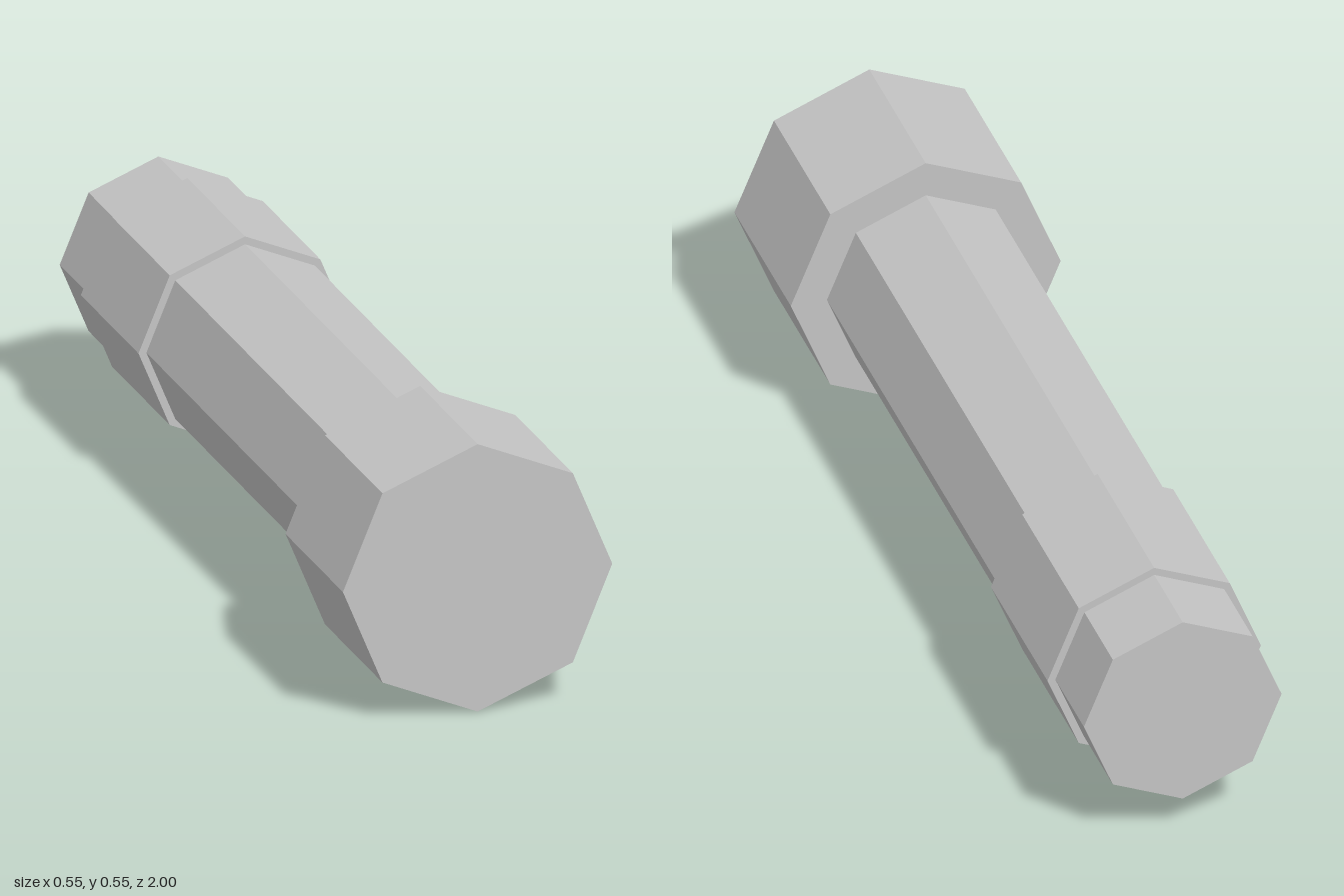
import * as THREE from 'three';

export function createModel() {
  const model = new THREE.Group();
  model.name = 'bolt';

  const grey = new THREE.MeshStandardMaterial({ color: 0xc4c4c4, flatShading: true });
  grey.name = 'light grey';

  const axisHeight = 0.273;

  // Octagonal prism lying along z, with a corner pointing straight up
  function prism(name, radius, zBack, zFront) {
    const geometry = new THREE.CylinderGeometry(radius, radius, zFront - zBack, 8);
    geometry.rotateX(Math.PI / 2);
    const mesh = new THREE.Mesh(geometry, grey);
    mesh.name = name;
    mesh.position.set(0, axisHeight, (zFront + zBack) / 2);
    model.add(mesh);
  }

  prism('head', 0.273, 0.64, 1);
  prism('shaft', 0.2, -1, 0.64);
  prism('collar', 0.216, -0.818, -0.457);

  return model;
}
